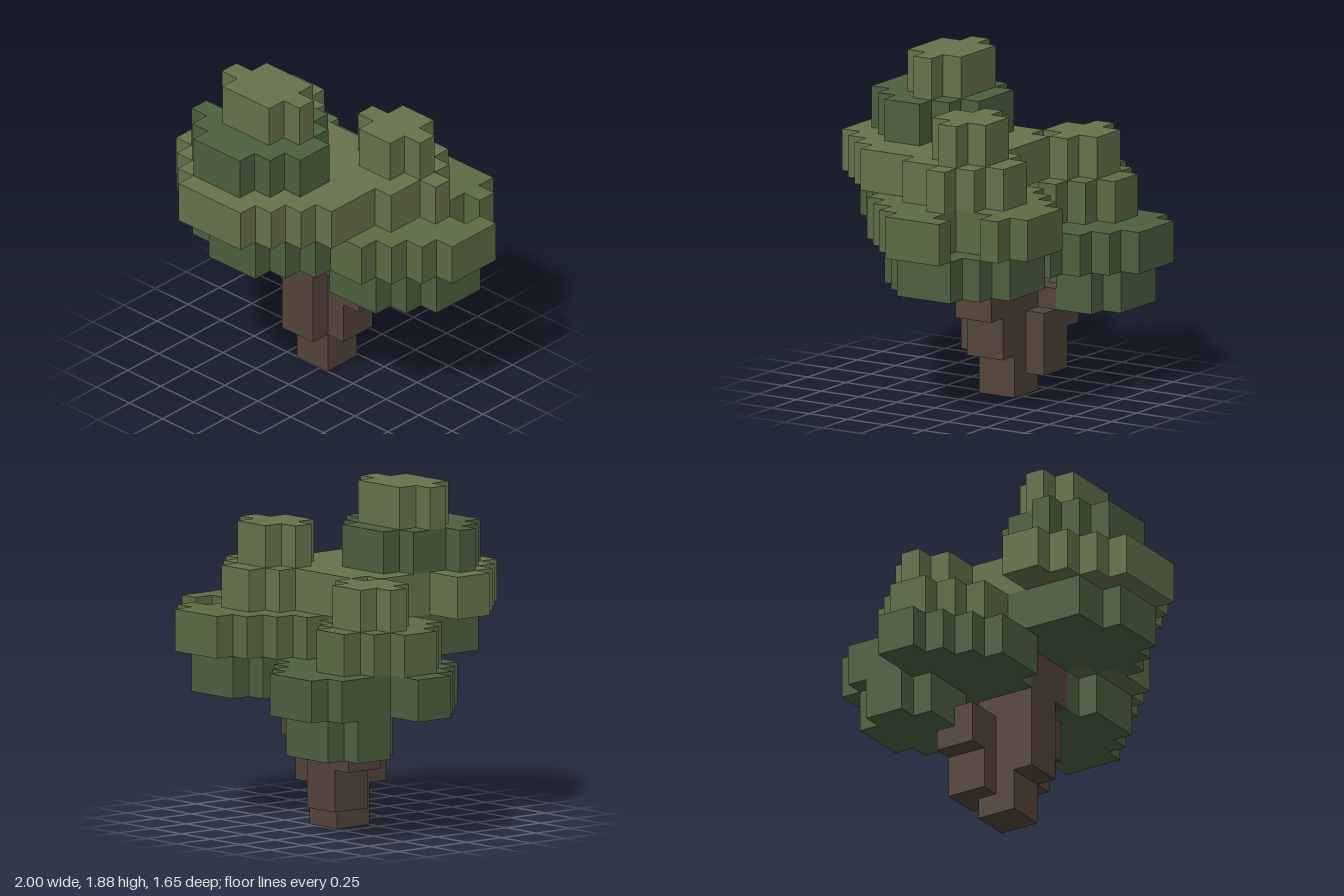
import * as THREE from 'three';

const U = 2 / 17; // one block
const material = (color) => new THREE.MeshStandardMaterial({ color, flatShading: true });
const bark = material(0x54443a);
const dark = material(0x4d6040);
const mid = material(0x5c6b45);
const light = material(0x67724c);

// Stepped slab: each row is [first, end) in blocks along x, rows run from back to front.
function slab(rows, backRow, bottom, height) {
  const points = [];
  const add = (x, z) => {
    const last = points[points.length - 1];
    if (!last || last.x !== x || last.y !== z) points.push(new THREE.Vector2(x, z));
  };
  rows.forEach(([, end], i) => {
    add(end, backRow + i);
    add(end, backRow + i + 1);
  });
  for (let i = rows.length - 1; i >= 0; i--) {
    add(rows[i][0], backRow + i + 1);
    add(rows[i][0], backRow + i);
  }
  const geometry = new THREE.ExtrudeGeometry(new THREE.Shape(points), { depth: height, bevelEnabled: false });
  geometry.rotateX(Math.PI / 2);
  geometry.translate(-8.5, bottom + height, -7);
  geometry.scale(U, U, U);
  return geometry;
}

function block(x0, x1, y0, y1, z0, z1) {
  const geometry = new THREE.BoxGeometry(x1 - x0, y1 - y0, z1 - z0);
  geometry.translate((x0 + x1) / 2 - 8.5, (y0 + y1) / 2, (z0 + z1) / 2 - 7);
  geometry.scale(U, U, U);
  return geometry;
}

export function createModel() {
  const model = new THREE.Group();

  const group = (name) => {
    const g = new THREE.Group();
    g.name = name;
    model.add(g);
    return g;
  };
  const addMesh = (parent, name, geometry, mat) => {
    const mesh = new THREE.Mesh(geometry, mat);
    mesh.name = name;
    parent.add(mesh);
  };

  // Trunk and its branches: x0, x1, y0, y1, z0, z1 in blocks
  const trunk = group('trunk');
  const trunkBlocks = {
    trunkBase: [7, 9, 0, 2, 5, 7],
    trunkCore: [7, 9, 2, 8, 5, 8],
    rightBranchLower: [6, 8, 1, 4, 4, 6],
    rightBranchUpper: [5, 7, 3, 5, 4, 6],
    leftBranchLower: [9, 10, 2, 8, 5, 7],
    leftBranchUpper: [10, 11, 4, 7, 5, 7],
    crown: [9, 10, 6, 8, 7, 8],
  };
  for (const [name, b] of Object.entries(trunkBlocks)) addMesh(trunk, name, block(...b), bark);

  // Leaf layers, each two blocks high: [material, bottom, back row, rows]
  const clusters = {
    backRightLeaves: [
      [dark, 4, 1, [[3, 6], [2, 7], [2, 7], [3, 6]]],
      [dark, 6, 0, [[3, 6], [2, 7], [2, 8], [2, 9], [0, 8], [0, 8], [1, 7], [2, 7], [3, 6]]],
      [mid, 8, 2, [[3, 5], [2, 6], [1, 7], [1, 5], [2, 5], [3, 5]]],
      [light, 10, 3, [[3, 5], [2, 6], [3, 5]]],
    ],
    leftLeaves: [
      [dark, 6, 2, [[11, 14], [10, 15], [9, 16], [9, 16], [9, 16], [10, 15], [11, 14]]],
      [mid, 8, 1, [[11, 14], [10, 15], [9, 14], [8, 14], [8, 17], [8, 17], [9, 16], [10, 15], [11, 14]]],
      [light, 12, 4, [[11, 13], [10, 14], [11, 13]]],
    ],
    frontLeaves: [
      [dark, 8, 7, [[6, 9], [5, 10], [5, 11], [5, 12], [5, 11], [7, 10]]],
      [light, 10, 3, [[11, 13], [10, 14], [6, 15], [5, 14], [5, 14], [5, 13],
        [3, 13], [3, 13], [4, 12], [5, 11], [6, 10]]],
      [dark, 12, 7, [[6, 9], [5, 10], [5, 11], [4, 11], [5, 10], [6, 9]]],
      [light, 14, 8, [[6, 9], [5, 10], [6, 9]]],
    ],
  };
  for (const [name, layers] of Object.entries(clusters)) {
    const cluster = group(name);
    layers.forEach(([mat, bottom, back, rows], i) =>
      addMesh(cluster, `leafLayer${i + 1}`, slab(rows, back, bottom, 2), mat));
  }

  // Single tuft sticking out at the left edge
  addMesh(model.getObjectByName('leftLeaves'), 'leafTuft', block(16, 17, 8, 10, 4, 5), mid);

  return model;
}
